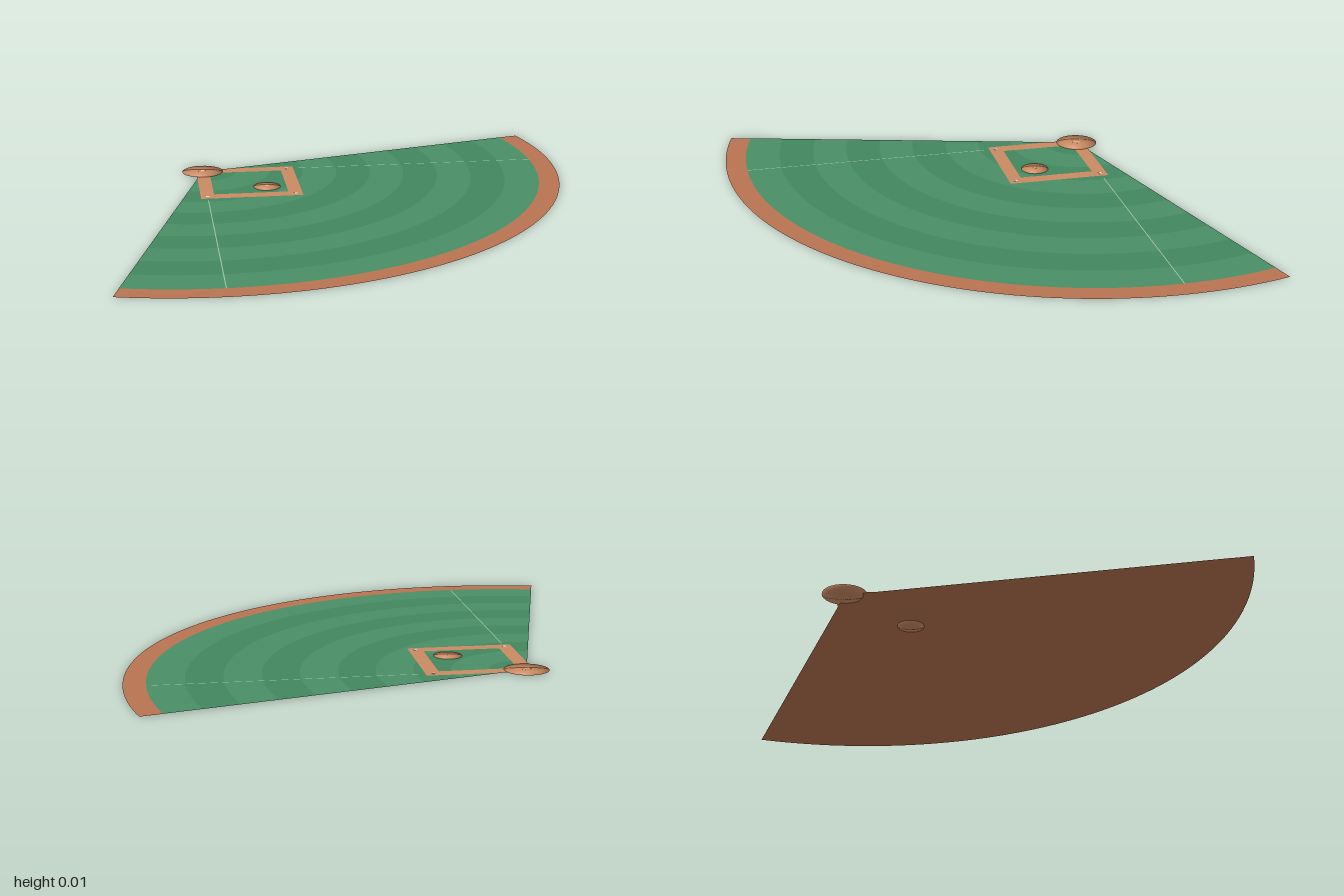
import * as THREE from 'three';

const SPREAD = Math.PI / 3;      // half opening angle of the field
const RADIUS = 1.155;            // home plate to outer fence edge
const GRASS = 1.09;              // outer radius of the grass
const BASE = 0.195;              // half diagonal of the base diamond

const material = (color) => new THREE.MeshStandardMaterial({ color, side: THREE.DoubleSide });
const DIRT = material(0xb87350);
const PATH = material(0xc98a62);
const WHITE = material(0xe4e0d4);
const LINE = material(0x9fc0a0);
const STRIPES = [material(0x42875f), material(0x498f67)];

export function createModel() {
  const field = new THREE.Group();
  field.name = 'ballField';
  field.position.z = -0.545;     // everything is measured from home plate

  const add = (name, geometry, mat, x = 0, y = 0, z = 0) => {
    const mesh = new THREE.Mesh(geometry, mat);
    mesh.name = name;
    mesh.position.set(x, y, z);
    field.add(mesh);
    return mesh;
  };
  const sector = (inner, outer) =>
    new THREE.RingGeometry(inner, outer, 64, 1, -Math.PI / 2 - SPREAD, 2 * SPREAD).rotateX(-Math.PI / 2);

  // Flattened sphere that keeps its round shading
  const mound = (radius, halfHeight) => {
    const geometry = new THREE.SphereGeometry(radius, 32, 16);
    const p = geometry.attributes.position;
    for (let i = 0; i < p.count; i++) p.setY(i, p.getY(i) * halfHeight / radius);
    return geometry;
  };

  // Dirt ground, showing as the warning track around the grass
  add('warningTrack', sector(0, RADIUS), DIRT, 0, 0.0016);

  // Mown grass in alternating rings
  const rings = 10;
  for (let i = 0; i < rings; i++) {
    add('grassStripe', sector(GRASS * i / rings, GRASS * (i + 1) / rings), STRIPES[i % 2], 0, 0.0019);
  }

  // Square base path, a four-sided ring
  add('basePath', new THREE.RingGeometry(0.165, 0.225, 4, 1).rotateX(-Math.PI / 2), PATH, 0, 0.0022, BASE);

  // Home circle and pitching mound
  add('homeCircle', mound(0.066, 0.0015), PATH, 0, 0.0025);
  add('pitchingMound', mound(0.043, 0.0025), PATH, 0, 0.0025, 0.273);
  add('pitchingRubber', new THREE.BoxGeometry(0.012, 0.0006, 0.003), WHITE, 0, 0.0051, 0.273);

  // Foul lines and side bases
  const start = BASE * Math.SQRT2 + 0.04;
  for (const side of [-1, 1]) {
    const mid = (start + GRASS) / 2 * Math.SQRT1_2;
    const line = add('foulLine', new THREE.PlaneGeometry(0.003, GRASS - start).rotateX(-Math.PI / 2),
      LINE, side * mid, 0.0022, mid);
    line.rotation.y = side * Math.PI / 4;
    add('sideBase', new THREE.BoxGeometry(0.01, 0.001, 0.01), WHITE, side * BASE, 0.0025, BASE).rotation.y = Math.PI / 4;
    add('battersLine', new THREE.BoxGeometry(0.0015, 0.0004, 0.02), WHITE, side * 0.009, 0.004, 0);
  }
  add('secondBase', new THREE.BoxGeometry(0.01, 0.001, 0.01), WHITE, 0, 0.0025, 2 * BASE).rotation.y = Math.PI / 4;

  // Five-sided home plate, pointing to the back
  const plate = new THREE.Shape([[0, 0.006], [-0.004, 0.002], [-0.004, -0.003], [0.004, -0.003], [0.004, 0.002]]
    .map(([x, y]) => new THREE.Vector2(x, y)));
  add('homePlate', new THREE.ShapeGeometry(plate).rotateX(-Math.PI / 2), WHITE, 0, 0.0042);

  const model = new THREE.Group();
  model.name = 'model';
  model.add(field);
  return model;
}
